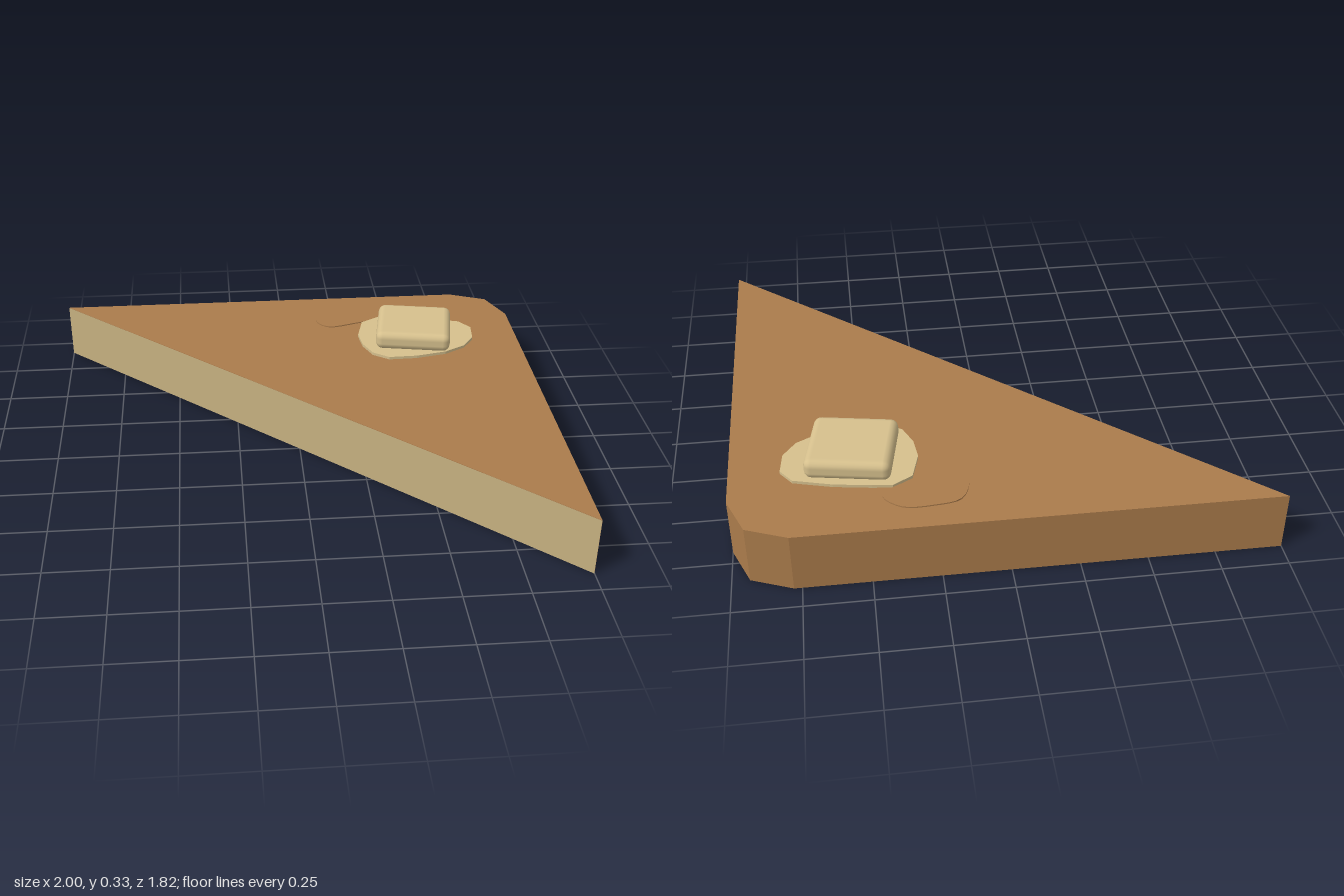
import * as THREE from 'three';
import { RoundedBoxGeometry } from 'three/addons/geometries/RoundedBoxGeometry.js';

const crust = new THREE.MeshStandardMaterial({ name: 'toastedCrust', color: 0xaa7b4b });
const crumb = new THREE.MeshStandardMaterial({ name: 'breadCrumb', color: 0xc6b080 });
const butter = new THREE.MeshStandardMaterial({ name: 'butter', color: 0xd6c08d });

// Flat slab with an outline given as [x, z] points, from height y0 to y1
function slab(name, points, y0, y1, material, smooth = false) {
  const pts = points.map(([x, z]) => new THREE.Vector2(x, -z));
  const shape = smooth
    ? new THREE.Shape(new THREE.CatmullRomCurve3(
        pts.map(p => new THREE.Vector3(p.x, p.y, 0)), true).getPoints(32)
        .slice(0, -1).map(p => new THREE.Vector2(p.x, p.y)))
    : new THREE.Shape(pts);
  const geometry = new THREE.ExtrudeGeometry(shape, { depth: y1 - y0, bevelEnabled: false });
  geometry.rotateX(-Math.PI / 2);
  geometry.translate(0, y0, 0);
  const mesh = new THREE.Mesh(geometry, material);
  mesh.name = name;
  return mesh;
}

export function createModel() {
  const group = new THREE.Group();
  group.name = 'toastSlice';
  const top = 0.237;

  // Triangular half slice with a clipped corner
  group.add(slab('toast',
    [[-1, -0.907], [1, 0.907], [1, -0.69], [0.935, -0.845], [0.78, -0.907]], 0, top, crust));

  // Pale cut face along the diagonal
  const cut = new THREE.Mesh(new THREE.PlaneGeometry(Math.hypot(2, 1.814), top), crumb);
  cut.name = 'cutFace';
  cut.rotation.y = Math.atan2(-1.814, 2);
  cut.position.set(-0.0013, top / 2, 0.0015);
  group.add(cut);

  // Thin toasted spot behind the butter
  group.add(slab('toastedSpot',
    [[0.13, -0.67], [0.18, -0.62], [0.3, -0.645], [0.4, -0.68], [0.445, -0.73],
      [0.38, -0.795], [0.27, -0.8], [0.165, -0.775]], top, 0.242, crust, true));

  // Melted puddle
  group.add(slab('meltedButter',
    [[0.33, -0.635], [0.3, -0.52], [0.31, -0.43], [0.345, -0.35], [0.41, -0.305],
      [0.53, -0.308], [0.66, -0.335], [0.75, -0.385], [0.8, -0.455], [0.81, -0.55],
      [0.765, -0.61], [0.62, -0.65], [0.48, -0.672], [0.405, -0.68]], top, 0.249, butter));

  // Butter pat
  const pat = new THREE.Mesh(new RoundedBoxGeometry(0.32, 0.081, 0.3, 2, 0.03), butter);
  pat.name = 'butterPat';
  pat.position.set(0.542, 0.2885, -0.493);
  pat.rotation.y = -0.18;
  group.add(pat);

  return group;
}
